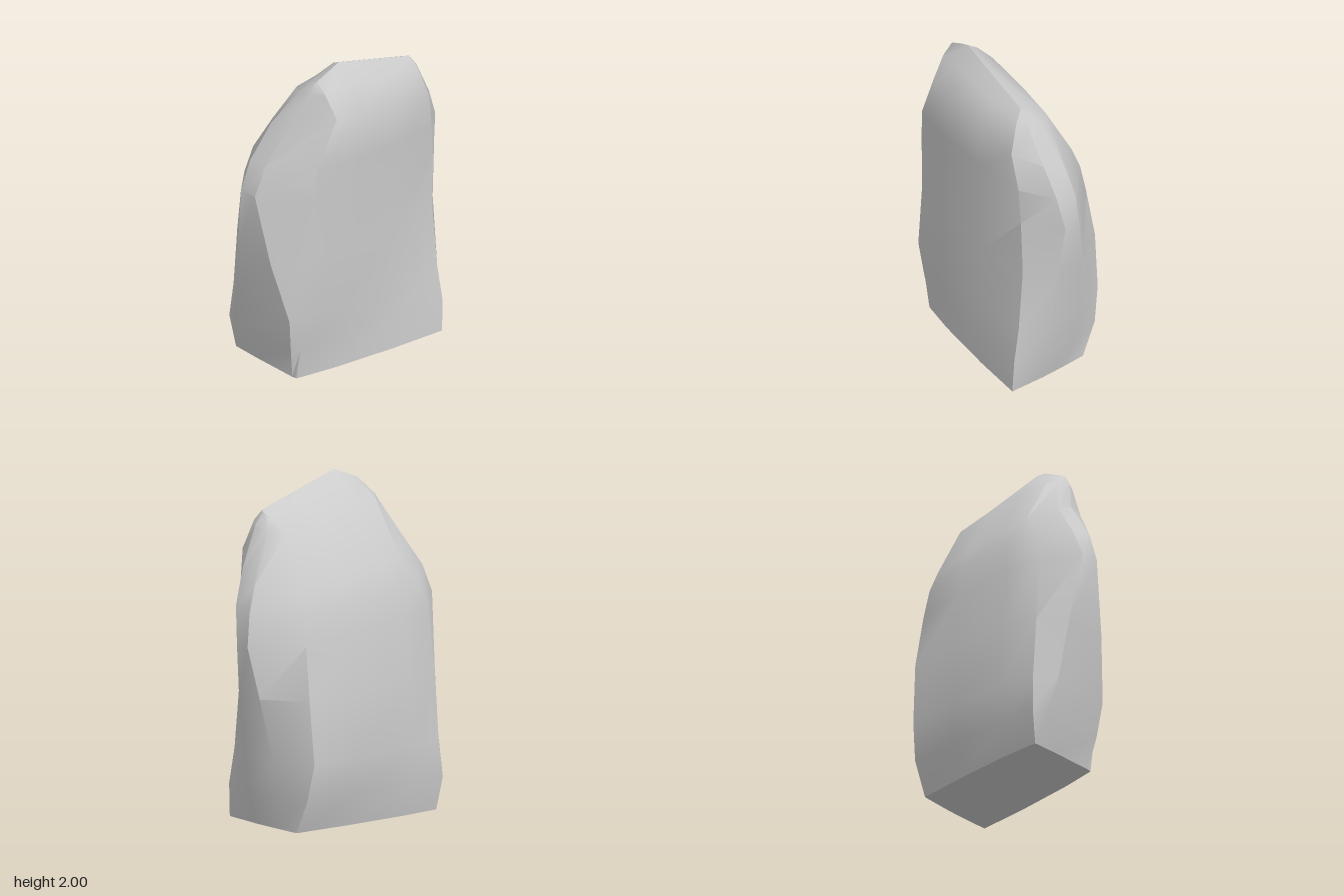
import * as THREE from 'three';
import { toCreasedNormals } from 'three/addons/utils/BufferGeometryUtils.js';

// Eight corners [x, z] of each cross-section, counter-clockwise seen from above:
// front -x, front +x, side +x (front, back), back +x, back -x, side -x (back, front)
const sections = [
  [-.49, .17, .48, .38, .485, .15, .48, 0, .47, -.17, -.49, -.33, -.495, -.15, -.495, .14],
  [-.49, .20, .49, .375, .53, .17, .53, -.06, .47, -.26, -.505, -.37, -.55, -.29, -.535, .17],
  [-.47, .235, .485, .335, .57, .16, .56, -.07, .45, -.30, -.49, -.35, -.59, -.24, -.565, .19],
  [-.46, .25, .48, .30, .625, .15, .63, -.03, .46, -.27, -.49, -.32, -.62, -.18, -.63, .10],
  [-.45, .265, .475, .31, .66, .13, .67, .03, .44, -.22, -.47, -.28, -.665, -.11, -.67, .01],
  [-.43, .28, .46, .315, .63, .17, .645, .04, .42, -.19, -.43, -.25, -.59, -.11, -.60, .03],
  [-.30, .31, .42, .335, .55, .20, .585, .06, .39, -.15, -.32, -.20, -.45, -.08, -.435, .06],
  [-.31, .22, .39, .27, .43, .22, .43, .12, .37, .03, -.31, -.01, -.36, .05, -.36, .14],
  [-.31, .155, .37, .22, .38, .21, .38, .18, .365, .155, -.29, .10, -.315, .115, -.32, .14],
];
// Height of each section, its slope along x and z, the drop of its -x shoulder
// and the outward bulge of its front and back
const heights = [
  [0, 0, 0, 0, .015], [.2, 0, 0, 0, .01], [.42, 0, 0, 0, .025], [.8, 0, 0, 0, .035], [1.17, -.1, .05, 0, .04],
  [1.36, -.1, .15, 0, .04], [1.55, -.2, .4, 0, .03], [1.8, -.2, .2, .2, .02], [1.863, -.35, .5, .74, 0],
];

// Expand a section into a ring, adding bulged points along the front and back
function makeRing(flat, [y, slopeX, slopeZ, drop, bulge]) {
  const corners = [];
  for (let i = 0; i < flat.length; i += 2) corners.push([flat[i], flat[i + 1]]);
  const between = (a, b, t, push) => [a[0] + (b[0] - a[0]) * t, a[1] + (b[1] - a[1]) * t + push];
  const [a, c, d, e, f, h, i, j] = corners;
  return [
    a, between(a, c, .235, bulge), between(a, c, .65, bulge), c, d, e,
    f, between(f, h, .35, -bulge), between(f, h, .765, -bulge), h, i, j,
  ].map(([x, z]) => new THREE.Vector3(x, y + slopeX * x + slopeZ * z - drop * Math.max(0, -.15 - x), z));
}

function makeStoneGeometry() {
  const rings = sections.map((flat, k) => makeRing(flat, heights[k]));
  const n = rings[0].length;
  const points = [];
  // Flanks
  for (let k = 0; k < rings.length - 1; k++) {
    const low = rings[k], high = rings[k + 1];
    for (let i = 0; i < n; i++) {
      const j = (i + 1) % n;
      points.push(low[i], low[j], high[j], low[i], high[j], high[i]);
    }
  }
  // Flat base
  const base = rings[0], centre = new THREE.Vector3();
  for (let i = 0; i < n; i++) points.push(centre, base[(i + 1) % n], base[i]);
  // Narrow crest: front row bridged to back row, then both ends closed
  const top = rings[rings.length - 1];
  for (let i = 0; i < 3; i++) {
    const p = top[i], q = top[i + 1], r = top[8 - i], s = top[9 - i];
    points.push(p, q, r, p, r, s);
  }
  for (const [p, q, r, s] of [[3, 4, 5, 6], [9, 10, 11, 0]]) {
    points.push(top[p], top[q], top[r], top[p], top[r], top[s]);
  }
  const geometry = new THREE.BufferGeometry().setFromPoints(points);
  return toCreasedNormals(geometry, 0.65);
}

export function createModel() {
  const model = new THREE.Group();
  model.name = 'standingStone';
  const stone = new THREE.Mesh(makeStoneGeometry(), new THREE.MeshStandardMaterial({ color: 0xcccccc }));
  stone.name = 'stone';
  model.add(stone);
  return model;
}
